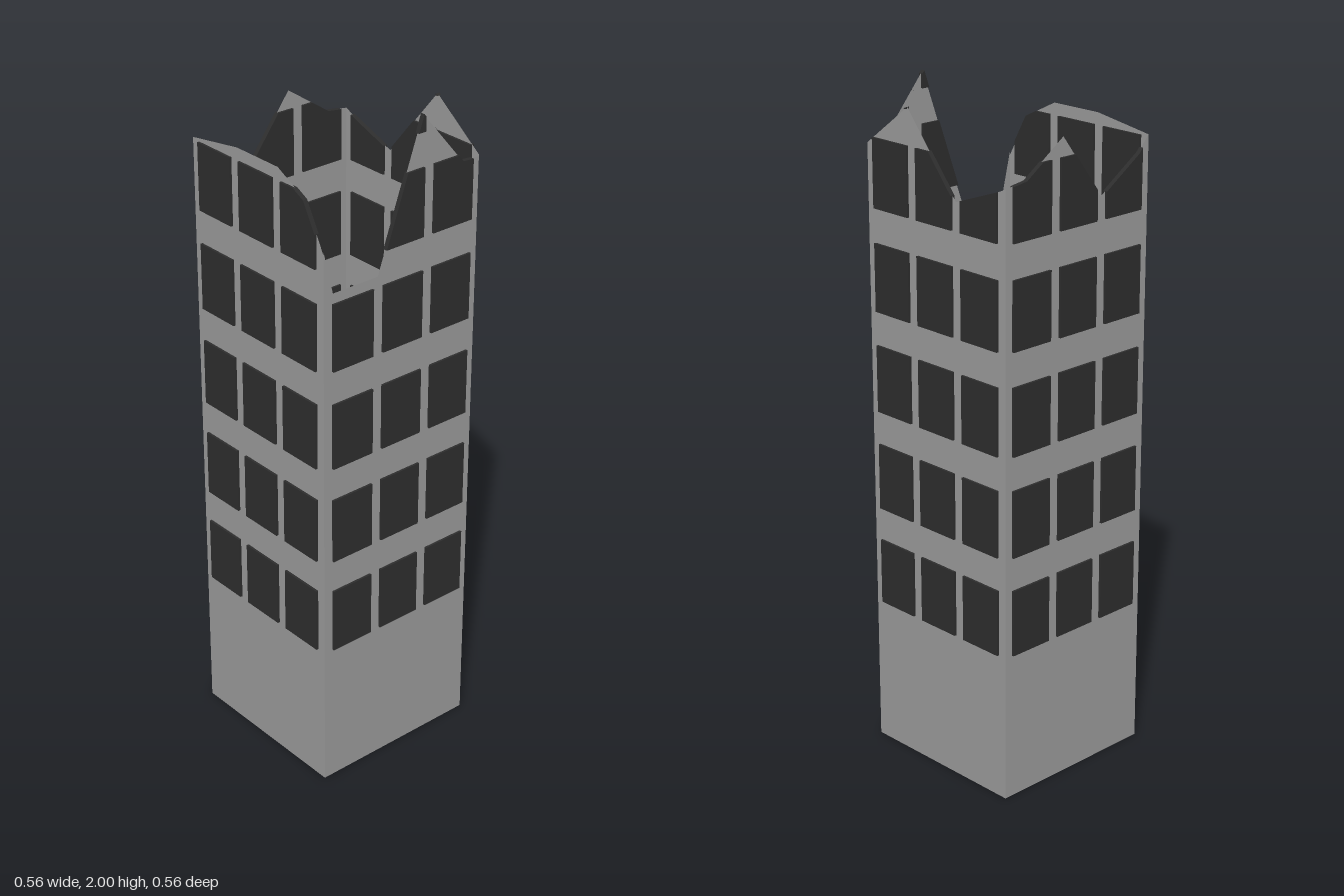
import * as THREE from 'three';

const H = 0.272; // half width of the tower
const COLS = [-0.175, 0, 0.175];
const PANE_W = 0.14, PANE_H = 0.2, PANE_T = 0.014;

// Broken top edge of each wall, left to right as seen from outside
const WALLS = [
  { name: 'front', turn: 0, shift: 0.002, edge: [[-H, 1.71], [-0.24, 1.58], [-0.085, 1.58], [0.065, 2], [0.21, 1.83], [H, 1.825]] },
  { name: 'left', turn: Math.PI / 2, shift: 0, edge: [[-H, 1.83], [-0.105, 1.955], [0.083, 1.73], [0.25, 1.79], [H, 1.8]] },
  { name: 'back', turn: Math.PI, shift: -0.002, edge: [[-H, 1.8], [-0.2, 1.81], [-0.06, 1.905], [0.085, 1.715], [0.23, 1.81], [H, 1.855]] },
  { name: 'right', turn: -Math.PI / 2, shift: 0, edge: [[-H, 1.855], [-0.08, 1.885], [0.09, 1.885], [0.2, 1.83], [H, 1.7]] },
];

// Height of the broken edge at u
function heightAt(edge, u) {
  for (let i = 1; i < edge.length; i++) {
    const [a, ya] = edge[i - 1], [b, yb] = edge[i];
    if (u <= b) return ya + (yb - ya) * (u - a) / (b - a);
  }
  return edge[edge.length - 1][1];
}

// Window outline, cut off where it rises above the broken edge
function paneShape(edge, u0, u1, v0, v1) {
  const us = [u0, u1];
  for (let i = 0; i < edge.length; i++) {
    us.push(edge[i][0]);
    if (i === 0) continue;
    const [a, ya] = edge[i - 1], [b, yb] = edge[i];
    for (const v of [v0, v1]) {
      if ((ya - v) * (yb - v) < 0) us.push(a + (b - a) * (v - ya) / (yb - ya));
    }
  }
  const top = us.filter((u) => u >= u0 && u <= u1).sort((a, b) => a - b)
    .map((u) => new THREE.Vector2(u, Math.min(v1, heightAt(edge, u))))
    .filter((p) => p.y >= v0 - 1e-6);
  if (top.length < 2) return null;
  const first = top[0], last = top[top.length - 1];
  const outline = [new THREE.Vector2(first.x, v0), new THREE.Vector2(last.x, v0), ...top.reverse()];
  const clean = outline.filter((p, i) => p.distanceTo(outline[(i + 1) % outline.length]) > 1e-5);
  return clean.length > 2 ? new THREE.Shape(clean) : null;
}

export function createModel() {
  const concrete = new THREE.MeshStandardMaterial({ color: 0x999999, side: THREE.DoubleSide });
  concrete.name = 'concrete grey';
  const glass = new THREE.MeshStandardMaterial({ color: 0x2d2d2d });
  glass.name = 'dark glass';

  const tower = new THREE.Group();
  tower.name = 'ruinedTower';

  for (const { name, turn, shift, edge } of WALLS) {
    const side = new THREE.Group();
    side.name = name + 'Side';
    side.rotation.y = turn;

    // Thin wall with a jagged top
    const outline = [[-H, 0], [H, 0], ...edge.slice().reverse()].map(([u, v]) => new THREE.Vector2(u, v));
    const wall = new THREE.Mesh(new THREE.ShapeGeometry(new THREE.Shape(outline)), concrete);
    wall.name = name + 'Wall';
    wall.position.z = H;
    side.add(wall);

    // Window blocks set through the wall
    for (let row = 0; row < 6; row++) {
      const v0 = 0.45 + row * 0.3;
      for (const c of COLS) {
        const u = c + shift;
        const shape = paneShape(edge, u - PANE_W / 2, u + PANE_W / 2, v0, v0 + PANE_H);
        if (!shape) continue;
        const pane = new THREE.Mesh(new THREE.ExtrudeGeometry(shape, { depth: PANE_T, bevelEnabled: false }), glass);
        pane.name = name + 'Window';
        pane.position.z = H - PANE_T / 2;
        side.add(pane);
      }
    }
    tower.add(side);
  }

  // Ground slab closing the hollow shell
  const slab = new THREE.Mesh(new THREE.PlaneGeometry(2 * H, 2 * H), concrete);
  slab.name = 'groundFloor';
  slab.rotation.x = Math.PI / 2;
  tower.add(slab);

  tower.position.z = -0.002;
  const model = new THREE.Group();
  model.name = 'building';
  model.add(tower);
  return model;
}
